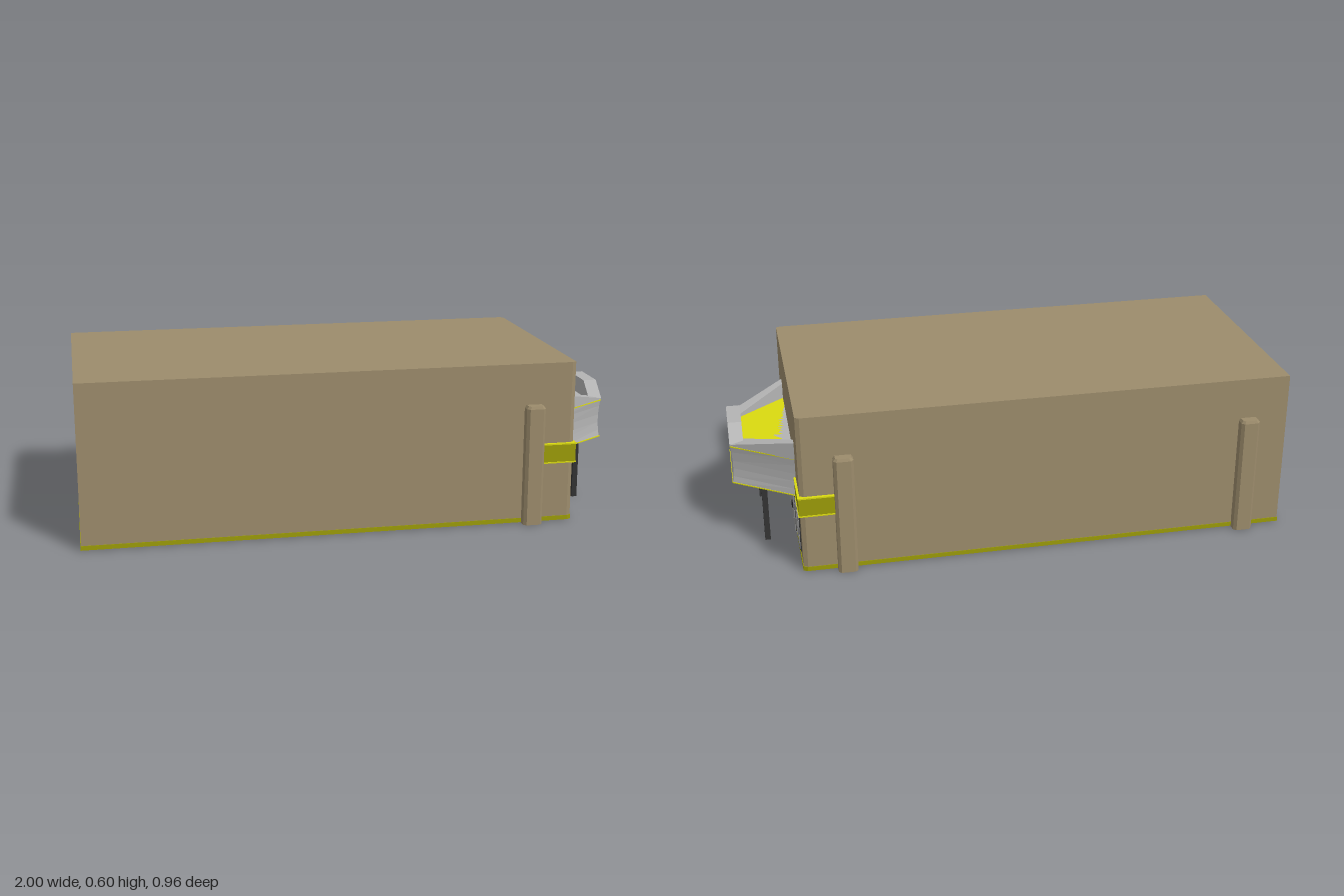
import * as THREE from 'three';
import { ConvexGeometry } from 'three/addons/geometries/ConvexGeometry.js';

const mat = (color) => new THREE.MeshStandardMaterial({ color, flatShading: true });

// Stacked convex cross-sections: rows of [y, outline], outlines of [x, z] counter-clockwise from above
function loft(rows) {
  const pos = [];
  const put = (y, p) => pos.push(p[0], y, p[1]);
  const n = rows[0][1].length;
  for (let r = 0; r < rows.length - 1; r++) {
    const [y0, lo] = rows[r], [y1, hi] = rows[r + 1];
    for (let i = 0; i < n; i++) {
      const j = (i + 1) % n;
      put(y0, lo[i]); put(y0, lo[j]); put(y1, hi[j]);
      put(y0, lo[i]); put(y1, hi[j]); put(y1, hi[i]);
    }
  }
  const [yb, bottom] = rows[0], [yt, top] = rows[rows.length - 1];
  for (let i = 1; i < n - 1; i++) {
    put(yb, bottom[0]); put(yb, bottom[i + 1]); put(yb, bottom[i]);
    put(yt, top[0]); put(yt, top[i]); put(yt, top[i + 1]);
  }
  const g = new THREE.BufferGeometry();
  g.setAttribute('position', new THREE.Float32BufferAttribute(pos, 3));
  g.computeVertexNormals();
  return g;
}

export function createModel() {
  const root = new THREE.Group();
  root.name = 'building';
  const wall = mat(0x9c8c6c), yellow = mat(0x9c9c08), trim = mat(0xdada10);
  const grey = mat(0xb4b4b4), glass = mat(0x9a9a9a), dark = mat(0x333333), black = mat(0x1c1c1c);

  const add = (name, geometry, material, parent = root) => {
    const m = new THREE.Mesh(geometry, material);
    m.name = name;
    parent.add(m);
    return m;
  };
  // Box given by its limits
  const box = (name, x0, x1, y0, y1, z0, z1, material, parent) => {
    const m = add(name, new THREE.BoxGeometry(x1 - x0, y1 - y0, Math.abs(z1 - z0)), material, parent);
    m.position.set((x0 + x1) / 2, (y0 + y1) / 2, (z0 + z1) / 2);
    return m;
  };

  // Main hall with chamfered front corners
  const plan = (o) => [
    [0.765 + o, 0.443 + o], [0.78 + o, 0.435 + o], [0.78 + o, -0.435 - o],
    [0.765 + o, -0.443 - o], [-0.998 - o, -0.443 - o], [-0.998 - o, 0.443 + o],
  ];
  add('hall', loft([[0.001, plan(0)], [0.595, plan(0)]]), wall);
  add('baseStrip', loft([[0.002, plan(0.002)], [0.018, plan(0.002)]]), yellow);
  box('floorHatch', -0.325, -0.255, 0, 0.004, -0.14, -0.07, glass);
  box('threshold', 0.71, 0.784, 0, 0.004, -0.15, 0.15, glass);

  // Octagonal pilasters against the long walls
  const pilaster = (x, s) => {
    const ring = (k) => [
      [0.035, -0.02], [0.035, 0.01], [0.025, 0.02], [-0.025, 0.02], [-0.035, 0.01], [-0.035, -0.02],
    ].map(([a, b]) => [a * k, b * k]).reverse();
    const outline = ring(1).reverse();
    // order the ring counter-clockwise from above
    const area = outline.reduce((t, p, i) => {
      const q = outline[(i + 1) % outline.length];
      return t + p[0] * q[1] - q[0] * p[1];
    }, 0);
    const ordered = (k) => (area < 0 ? ring(k).reverse() : ring(k));
    const m = add('pilaster', loft([[0, ordered(1)], [0.435, ordered(1)], [0.445, ordered(0.8)]]), wall);
    m.position.set(x, 0, s * 0.46);
    if (s < 0) m.rotation.y = Math.PI;
  };
  pilaster(0.625, 1);
  pilaster(0.625, -1);
  pilaster(-0.85, -1);

  for (const s of [1, -1]) {
    // Coloured band wrapping each front corner, with bright edges
    const band = new THREE.Group();
    band.name = 'cornerBand';
    root.add(band);
    for (const [name, y0, y1, o, m] of [
      ['bandPanel', 0.228, 0.292, 0, yellow],
      ['bandLowerTrim', 0.223, 0.228, 0.002, trim],
      ['bandUpperTrim', 0.292, 0.297, 0.002, trim],
    ]) {
      box(name, 0.77, 0.786 + o, y0, y1, s * 0.285, s * (0.453 + o), m, band);
      box(name, 0.66, 0.77, y0, y1, s * 0.44, s * (0.453 + o), m, band);
    }

    // Paired windows
    for (const z of [0.25, 0.345]) {
      box('windowFrame', 0.77, 0.784, 0.05, 0.187, s * (z - 0.04), s * (z + 0.04), dark);
      box('windowPane', 0.775, 0.786, 0.056, 0.181, s * (z - 0.034), s * (z + 0.034), glass);
    }

    // Canopy post
    box('canopyPost', 0.88, 0.9, 0, 0.228, s * 0.165, s * 0.185, dark);
  }

  // Entrance: dark frame, four leaves and pull handles
  box('doorFrame', 0.77, 0.784, 0, 0.19, -0.15, 0.15, dark);
  for (let i = 0; i < 4; i++) {
    const z = -0.109 + i * 0.0727;
    box('doorLeaf', 0.775, 0.786, 0.003, 0.185, z - 0.0355, z + 0.0355, glass);
  }
  for (const z of [-0.085, -0.063, 0.063, 0.085])
    box('doorHandle', 0.784, 0.79, 0.071, 0.091, z - 0.003, z + 0.003, black);

  // Canopy: trapezoid with a slightly hollow fascia
  const canopy = new THREE.Group();
  canopy.name = 'canopy';
  root.add(canopy);
  const trapezoid = (d) => [
    [0.775, 0.295 - d], [0.998 - d, 0.139 - d], [0.998 - d, -0.139 + d], [0.775, -0.295 + d],
  ];
  add('fascia', loft([[0.228, 0], [0.25, 0.003], [0.28, 0.005], [0.31, 0.005], [0.345, 0.003], [0.372, 0]]
    .map(([y, d]) => [y, trapezoid(d)])), grey, canopy);
  for (const y of [0.224, 0.368])
    add('fasciaTrim', loft([[y, trapezoid(-0.002)], [y + 0.004, trapezoid(-0.002)]]), trim, canopy);
  add('soffit', loft([[0.222, trapezoid(0.006)], [0.226, trapezoid(0.006)]]), black, canopy);

  // Raised parapets above the fascia
  const hull = (name, pts) =>
    add(name, new ConvexGeometry(pts.map((p) => new THREE.Vector3(...p))), grey, canopy);
  for (const s of [1, -1]) {
    hull('sideParapet', [
      [0.78, 0.37, s * 0.295], [0.78, 0.435, s * 0.295], [0.78, 0.37, s * 0.255], [0.78, 0.431, s * 0.255],
      [0.998, 0.37, s * 0.139], [0.998, 0.377, s * 0.139], [0.95, 0.37, s * 0.11], [0.95, 0.384, s * 0.11],
    ]);
  }
  const front = [];
  for (const x of [0.95, 1])
    for (const s of [1, -1])
      front.push([x, 0.37, s * 0.14], [x, 0.378, s * 0.14], [x, 0.435, s * 0.075]);
  hull('frontParapet', front);

  return root;
}
